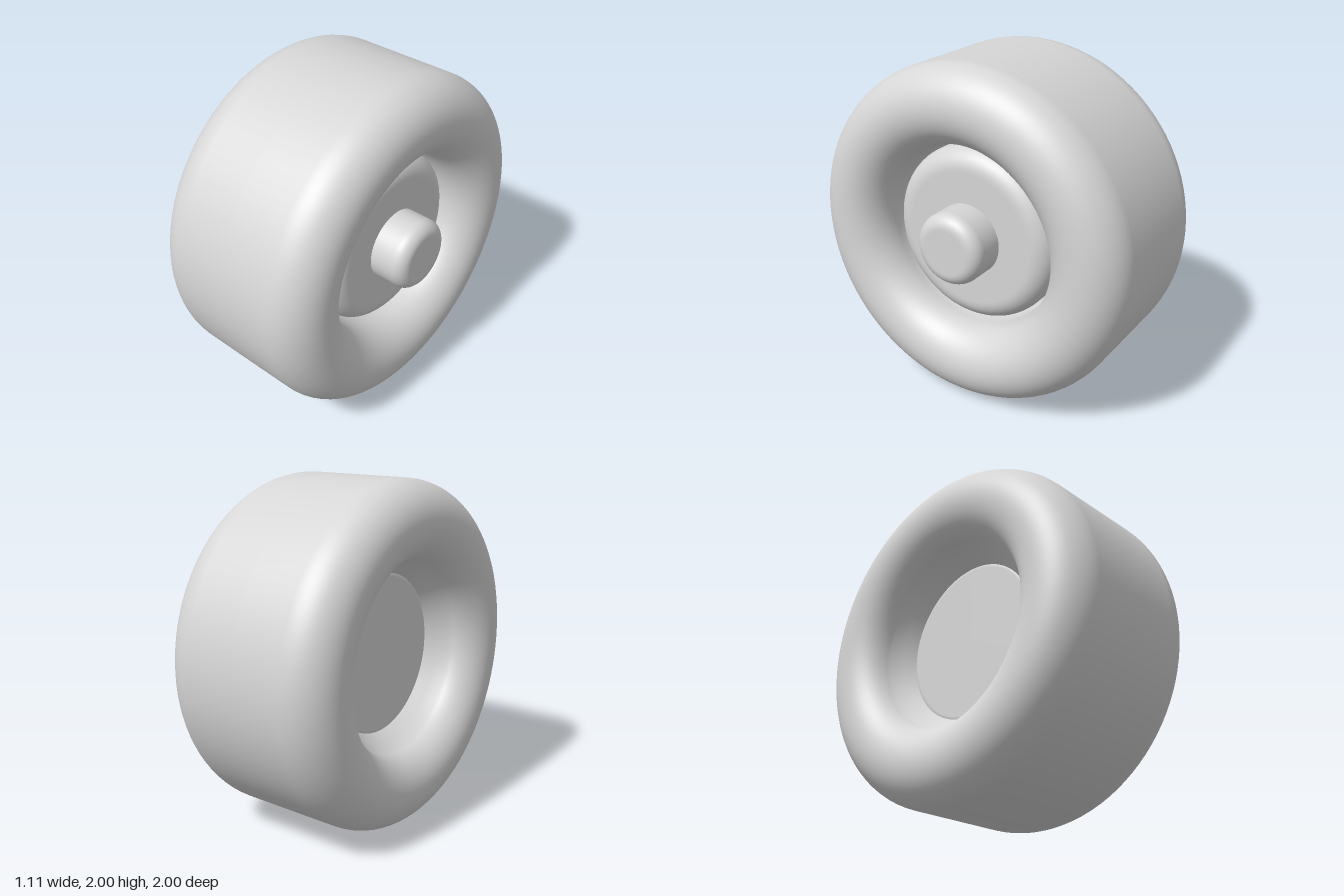
import * as THREE from 'three';

const SEGMENTS = 96;

// Points on an arc in the (radius, axis) plane, angles in degrees
function arc(cr, cx, radius, from, to, steps) {
  return Array.from({ length: steps + 1 }, (_, i) => {
    const a = THREE.MathUtils.degToRad(from + ((to - from) * i) / steps);
    return new THREE.Vector2(Math.max(0, cr + radius * Math.cos(a)), cx + radius * Math.sin(a));
  });
}

// Revolve a profile, then lay its axis along +x
function revolve(name, points, material) {
  const geometry = new THREE.LatheGeometry(points, SEGMENTS);
  geometry.rotateZ(-Math.PI / 2);
  const mesh = new THREE.Mesh(geometry, material);
  mesh.name = name;
  return mesh;
}

export function createModel() {
  const grey = new THREE.MeshStandardMaterial({ color: 0xd6d6d6 });
  grey.name = 'plain grey';

  const wheel = new THREE.Group();
  wheel.name = 'wheel';
  wheel.position.y = 1;
  const p = (r, x) => new THREE.Vector2(r, x);

  // Tyre: a stadium cross-section swept round the axle, its hole narrowing towards the back
  const R = 0.2275;
  const mid = 1 - R;
  wheel.add(revolve('tyre', [
    p(1, -0.02),
    ...arc(mid, 0.29, R, 0, 180, 28),
    p(mid - R, 0.1),
    p(0.46, 0.05),
    p(0.44, -0.2),
    p(0.47, -0.255),
    p(0.51, -0.305),
    ...arc(mid, -0.33, R, 192, 360, 26),
    p(1, -0.02),
  ], grey));

  // Rim disc: recessed on both sides, with a broadly rounded front edge
  wheel.add(revolve('rimDisc', [
    p(0, -0.25),
    p(0.45, -0.25),
    p(0.47, -0.249),
    p(0.472, -0.24),
    p(0.475, 0.05),
    p(0.52, 0.1),
    ...arc(0.4, 0.22, 0.12, 0, 90, 12),
    p(0.39, 0.34),
    p(0, 0.34),
  ], grey));

  // Hub cap: short stub with a rounded end
  wheel.add(revolve('hubCap', [
    p(0.21, 0.3),
    p(0.21, 0.47),
    ...arc(0.135, 0.48, 0.075, 0, 90, 12),
    p(0.125, 0.555),
    p(0, 0.555),
  ], grey));

  return wheel;
}
